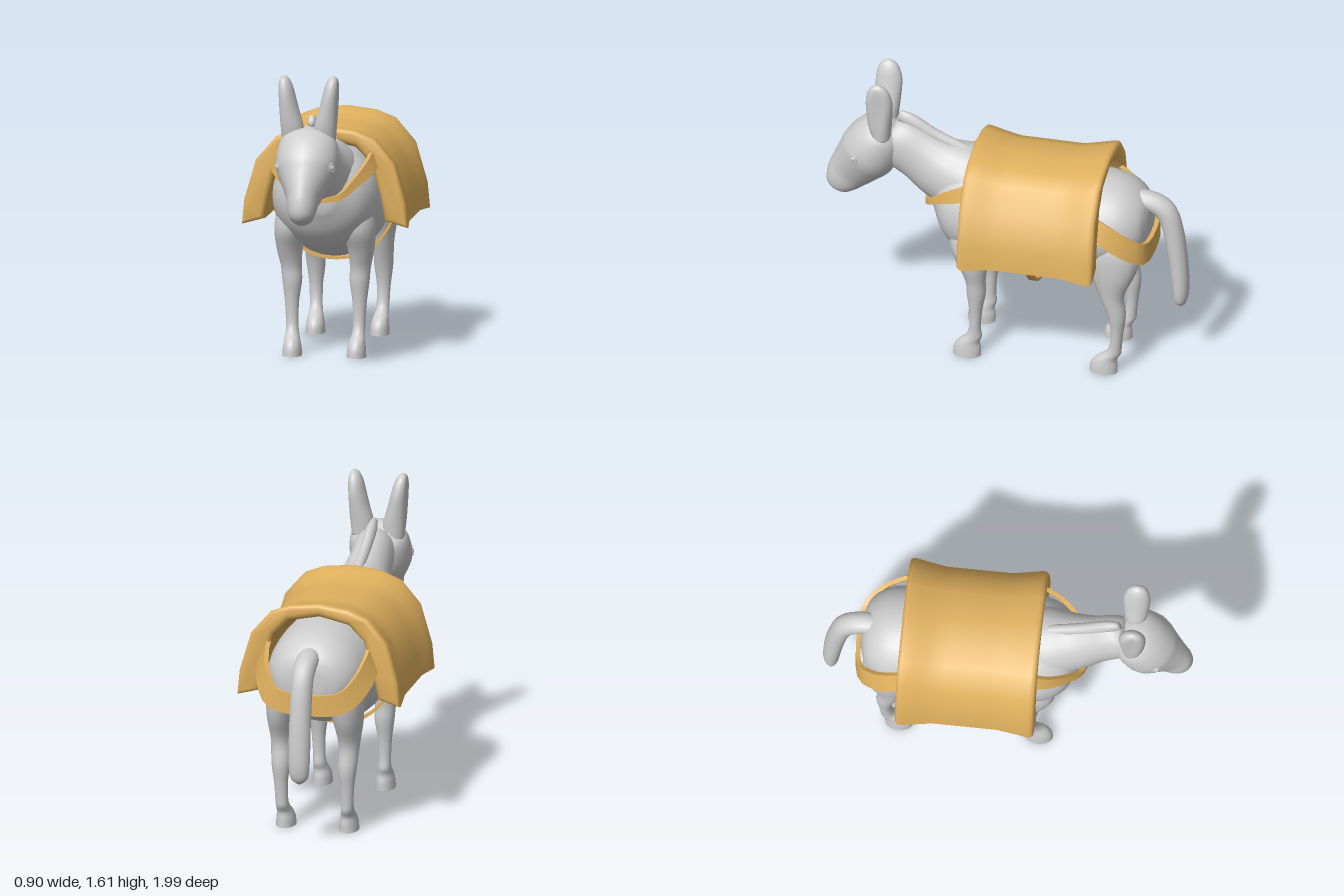
import * as THREE from 'three';
import { toCreasedNormals } from 'three/addons/utils/BufferGeometryUtils.js';

const V = (x, y, z) => new THREE.Vector3(x, y, z);

// Closed skin over a list of rings (each ring turns counter-clockwise about the path)
function skin(rings, crease) {
  const n = rings[0].length, pos = [], idx = [];
  rings.forEach(r => r.forEach(p => pos.push(p.x, p.y, p.z)));
  for (let i = 0; i < rings.length - 1; i++) {
    for (let j = 0; j < n; j++) {
      const a = i * n + j, b = i * n + (j + 1) % n;
      idx.push(a, b, b + n, a, b + n, a + n);
    }
  }
  [rings[0], rings[rings.length - 1]].forEach((r, end) => {
    const c = r.reduce((s, p) => s.add(p), V(0, 0, 0)).divideScalar(n);
    const k = pos.length / 3, base = end ? (rings.length - 1) * n : 0;
    pos.push(c.x, c.y, c.z);
    for (let j = 0; j < n; j++) {
      const a = base + j, b = base + (j + 1) % n;
      if (end) idx.push(k, a, b); else idx.push(k, b, a);
    }
  });
  const g = new THREE.BufferGeometry();
  g.setAttribute('position', new THREE.Float32BufferAttribute(pos, 3));
  g.setIndex(idx);
  g.computeVertexNormals();
  return crease ? toCreasedNormals(g, crease) : g;
}

// Elliptical loft through sections [x, y, z, half width, half depth]
function loft(sections, { dir = null, sides = 20, sub = 4, dent = 0, crease = 0 } = {}) {
  const path = new THREE.CatmullRomCurve3(sections.map(s => V(s[0], s[1], s[2])), false, 'catmullrom');
  const size = new THREE.CatmullRomCurve3(sections.map(s => V(s[3], s[4], 0)), false, 'catmullrom');
  const count = (sections.length - 1) * sub, rings = [];
  for (let i = 0; i <= count; i++) {
    const t = i / count, c = path.getPoint(t), r = size.getPoint(t);
    const T = dir ? dir.clone() : path.getTangent(t);
    T.x = 0;
    T.normalize();
    const ring = [];
    for (let j = 0; j < sides; j++) {
      const a = j / sides * Math.PI * 2, cos = Math.cos(a), s = Math.sin(a);
      // optional hollow on the outer side, for the ears
      const hollow = 1 - dent * Math.sin(Math.PI * t) * Math.max(0, cos * Math.sign(c.x)) ** 8;
      const u = Math.max(r.x, 0.004) * cos * hollow, v = Math.max(r.y, 0.004) * s;
      ring.push(V(c.x + u, c.y + v * T.z, c.z - v * T.y));
    }
    rings.push(ring);
  }
  return skin(rings, crease);
}

// Flat strap through points [x, y, z, half width]; wide(point) gives the width direction
function strap(points, wide, thick) {
  const path = new THREE.CatmullRomCurve3(points.map(p => V(p[0], p[1], p[2])), false, 'catmullrom');
  const width = new THREE.CatmullRomCurve3(points.map(p => V(p[3], 0, 0)), false, 'catmullrom');
  const rings = [], count = (points.length - 1) * 3;
  for (let i = 0; i <= count; i++) {
    const t = i / count, c = path.getPoint(t), T = path.getTangent(t);
    const n = T.clone().cross(wide(c)).normalize();
    const w = n.clone().cross(T).normalize().multiplyScalar(width.getPoint(t).x);
    n.multiplyScalar(thick);
    rings.push([[1, 1], [-1, 1], [-1, -1], [1, -1]].map(([a, b]) =>
      c.clone().addScaledVector(w, a).addScaledVector(n, b)));
  }
  return skin(rings, 0.7);
}

// Full left-to-right point list from one half that ends on the centre line
const bothSides = half => [...half, ...half.slice(0, -1).reverse().map(([x, ...rest]) => [-x, ...rest])];

export function createModel() {
  const model = new THREE.Group();
  model.name = 'packDonkey';
  const grey = new THREE.MeshStandardMaterial({ color: 0xcecece });
  grey.name = 'grey coat';
  const tan = new THREE.MeshStandardMaterial({ color: 0xe1b15e });
  tan.name = 'tan cloth';

  const add = (name, geometry, material = grey, parent = model) => {
    const mesh = new THREE.Mesh(geometry, material);
    mesh.name = name;
    parent.add(mesh);
  };

  // Barrel, chest and rump
  add('body', loft([
    [0, 0.87, -0.79, 0.08, 0.09], [0, 0.87, -0.755, 0.18, 0.165], [0, 0.875, -0.67, 0.245, 0.225],
    [0, 0.86, -0.55, 0.275, 0.27], [0, 0.84, -0.38, 0.29, 0.3], [0, 0.82, -0.18, 0.3, 0.33],
    [0, 0.84, 0.02, 0.295, 0.312], [0, 0.865, 0.15, 0.288, 0.29], [0, 0.87, 0.25, 0.262, 0.26],
    [0, 0.885, 0.33, 0.205, 0.195], [0, 0.91, 0.395, 0.09, 0.09],
  ], { dir: V(0, 0, 1), sides: 32 }));

  // Neck with its crest
  add('neck', loft([
    [0, 0.95, 0.1, 0.2, 0.2], [0, 1.0, 0.22, 0.19, 0.205], [0, 1.05, 0.36, 0.15, 0.18],
    [0, 1.12, 0.48, 0.12, 0.155], [0, 1.19, 0.6, 0.11, 0.145], [0, 1.22, 0.66, 0.09, 0.1],
  ]));
  add('mane', loft([
    [0, 1.14, 0.1, 0.025, 0.02], [0, 1.19, 0.25, 0.028, 0.03], [0, 1.25, 0.4, 0.03, 0.035],
    [0, 1.32, 0.53, 0.03, 0.042], [0, 1.35, 0.6, 0.018, 0.03],
  ], { sides: 12 }));

  // Head tapering to the muzzle
  add('head', loft([
    [0, 1.295, 0.64, 0.08, 0.055], [0, 1.255, 0.668, 0.145, 0.115], [0, 1.185, 0.713, 0.166, 0.152],
    [0, 1.1, 0.765, 0.162, 0.162], [0, 1.03, 0.818, 0.125, 0.143], [0, 0.96, 0.872, 0.088, 0.12],
    [0, 0.91, 0.907, 0.077, 0.1], [0, 0.868, 0.934, 0.06, 0.072], [0, 0.846, 0.947, 0.028, 0.037],
  ], { sides: 24 }));

  // Tail hanging behind
  add('tail', loft([
    [0, 1.0, -0.66, 0.05, 0.05], [0, 1.005, -0.77, 0.06, 0.053], [0, 0.955, -0.865, 0.06, 0.06],
    [0, 0.85, -0.908, 0.06, 0.057], [0, 0.68, -0.936, 0.06, 0.053], [0, 0.5, -0.953, 0.06, 0.047],
    [0, 0.4, -0.953, 0.05, 0.036], [0, 0.362, -0.95, 0.014, 0.012],
  ], { sides: 14 }));

  // Paired ears and legs: the right one uses the left sections with x reversed
  const pair = (name, sections, options) => {
    add(name + 'Left', loft(sections, options));
    add(name + 'Right', loft(sections.map(([x, ...rest]) => [-x, ...rest]), options));
  };
  pair('ear', [
    [0.085, 1.24, 0.675, 0.06, 0.05], [0.094, 1.33, 0.68, 0.065, 0.063], [0.108, 1.41, 0.68, 0.057, 0.07],
    [0.12, 1.49, 0.68, 0.048, 0.073], [0.128, 1.55, 0.682, 0.04, 0.062], [0.133, 1.588, 0.684, 0.027, 0.041],
    [0.135, 1.606, 0.685, 0.008, 0.012],
  ], { dir: V(0, 1, 0), dent: 0.3, sides: 24 });
  const legStyle = { dir: V(0, -1, 0), sides: 16, crease: 0.9 };
  pair('frontLeg', [
    [0.14, 0.93, 0.14, 0.05, 0.07], [0.166, 0.8, 0.155, 0.09, 0.11], [0.183, 0.69, 0.16, 0.092, 0.115],
    [0.194, 0.58, 0.145, 0.072, 0.08], [0.188, 0.48, 0.133, 0.057, 0.055], [0.183, 0.4, 0.13, 0.054, 0.052],
    [0.184, 0.29, 0.133, 0.039, 0.036], [0.182, 0.18, 0.137, 0.034, 0.032], [0.18, 0.125, 0.145, 0.036, 0.045],
    [0.177, 0.085, 0.172, 0.043, 0.06], [0.175, 0.045, 0.18, 0.05, 0.074], [0.175, 0, 0.183, 0.053, 0.077],
  ], legStyle);
  pair('hindLeg', [
    [0.12, 0.93, -0.59, 0.05, 0.08], [0.155, 0.81, -0.615, 0.1, 0.155], [0.182, 0.65, -0.62, 0.082, 0.13],
    [0.188, 0.5, -0.615, 0.058, 0.07], [0.184, 0.37, -0.642, 0.052, 0.052], [0.184, 0.26, -0.645, 0.038, 0.035],
    [0.182, 0.17, -0.637, 0.035, 0.034], [0.18, 0.125, -0.622, 0.036, 0.045], [0.177, 0.085, -0.585, 0.043, 0.06],
    [0.175, 0.045, -0.572, 0.05, 0.074], [0.175, 0, -0.569, 0.053, 0.077],
  ], legStyle);
  for (const s of [1, -1]) {
    const eye = new THREE.Group();
    eye.name = s > 0 ? 'eyeLeft' : 'eyeRight';
    eye.position.set(s * 0.149, 1.13, 0.816);
    eye.rotation.y = s * 1.1;
    eye.scale.set(1, 1, 0.7);
    add('eyelid', new THREE.TorusGeometry(0.022, 0.007, 8, 18), grey, eye);
    add('eyeball', new THREE.SphereGeometry(0.017, 14, 10), grey, eye);
    model.add(eye);
  }

  // Thick, soft-edged arched pack cloth, flared toward both ends
  const outer = bothSides([[0.43, 0.715], [0.418, 0.84], [0.358, 1.02], [0.255, 1.148], [0.155, 1.19], [0, 1.21]]);
  const inner = bothSides([[-0.31, 0.75], [-0.285, 0.88], [-0.235, 1.02], [-0.155, 1.105], [0, 1.14]]);
  const arch = new THREE.Shape([...outer, ...inner].map(p => new THREE.Vector2(...p)));
  const cloth = new THREE.ExtrudeGeometry(arch, {
    depth: 0.685, steps: 12, bevelThickness: 0.032, bevelSize: 0.026, bevelOffset: -0.026, bevelSegments: 3,
  }).translate(0, 0, -0.535);
  const p = cloth.attributes.position;
  for (let i = 0; i < p.count; i++) {
    const flare = Math.max(0, (Math.abs(p.getZ(i) + 0.19) - 0.18) / 0.19);
    const y = p.getY(i);
    p.setX(i, p.getX(i) * (1 + 0.06 * flare));
    p.setY(i, y + flare * (y > 1 ? 0.04 : y < 0.8 ? -0.015 : 0));
  }
  add('packCloth', toCreasedNormals(cloth, 0.9), tan);

  // Straps: girth under the belly, breast strap and breeching leaning in on the flanks
  const leanIn = c => V(-1.3 * c.x, 1, 0);
  add('girthStrap', strap(bothSides([
    [0.34, 0.77, -0.185, 0.02], [0.29, 0.65, -0.185, 0.02], [0.22, 0.56, -0.185, 0.02],
    [0.12, 0.495, -0.185, 0.02], [0, 0.476, -0.185, 0.02],
  ]), () => V(0, 0, 1), 0.008), tan);
  add('breastStrap', strap(bothSides([
    [0.275, 1.09, 0.14, 0.045], [0.25, 1.035, 0.24, 0.037], [0.192, 0.97, 0.335, 0.024],
    [0.115, 0.9, 0.41, 0.016], [0, 0.893, 0.43, 0.016],
  ]), leanIn, 0.012), tan);
  add('breechingStrap', strap(bothSides([
    [0.3, 0.99, -0.5, 0.06], [0.296, 0.93, -0.6, 0.058], [0.265, 0.85, -0.7, 0.058],
    [0.183, 0.775, -0.785, 0.058], [0, 0.758, -0.805, 0.058],
  ]), leanIn, 0.012), tan);

  return model;
}
